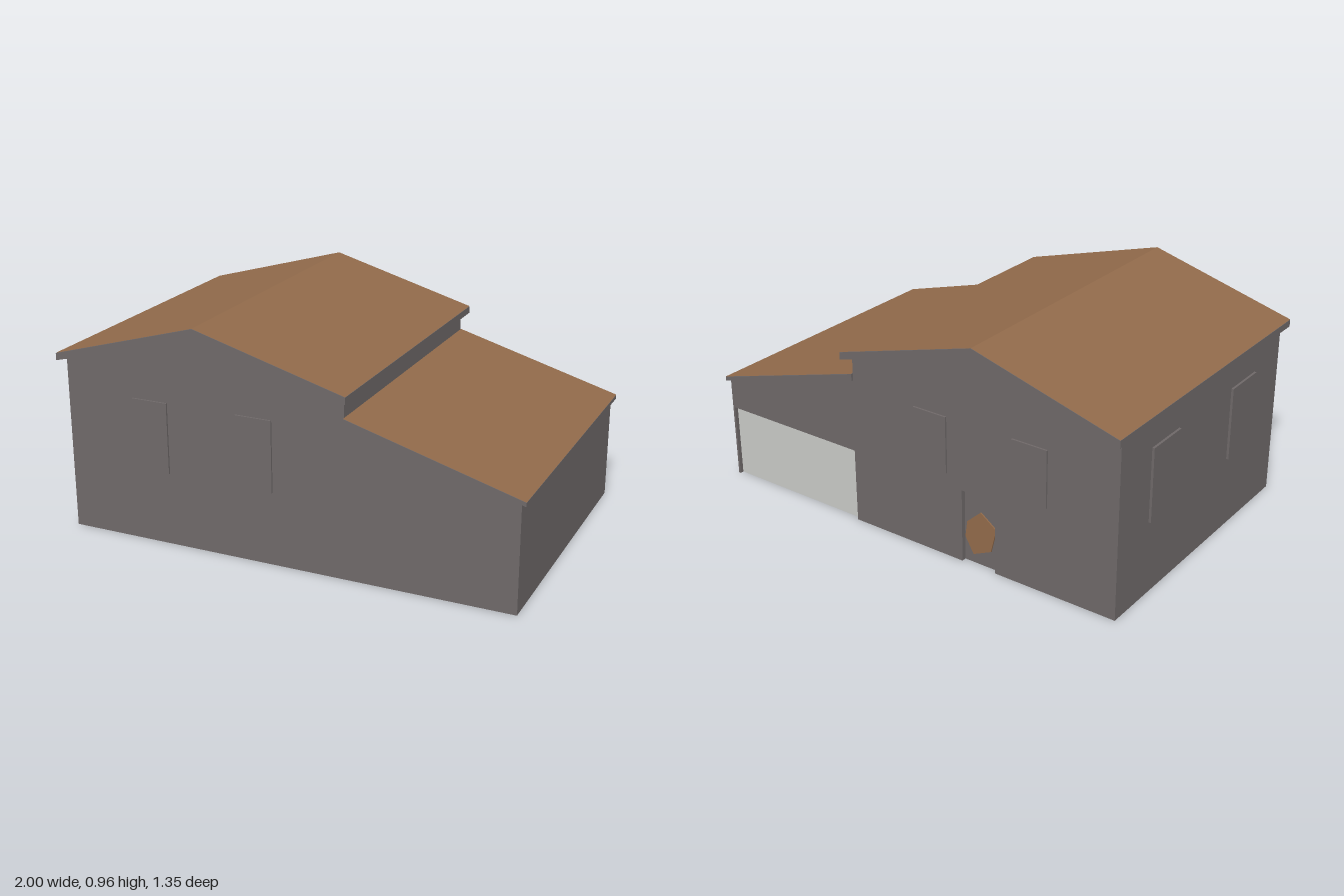
import * as THREE from 'three';

const wallGrey = new THREE.MeshStandardMaterial({ color: 0x6e6868 });
wallGrey.name = 'wallGrey';
const roofBrown = new THREE.MeshStandardMaterial({ color: 0x916a4a });
roofBrown.name = 'roofBrown';
const doorGrey = new THREE.MeshStandardMaterial({ color: 0xc8c9c6 });
doorGrey.name = 'doorGrey';

const shapeOf = pts => new THREE.Shape(pts.map(p => new THREE.Vector2(...p)));

export function createModel() {
  const house = new THREE.Group();
  house.name = 'house';

  const add = (name, geometry, material) => {
    const mesh = new THREE.Mesh(geometry, material);
    mesh.name = name;
    house.add(mesh);
    return mesh;
  };
  // Front profile pushed through from z0 to z1
  const slab = (name, pts, z0, z1, material) => {
    const g = new THREE.ExtrudeGeometry(shapeOf(pts), { depth: z1 - z0, bevelEnabled: false });
    add(name, g.translate(0, 0, z0), material);
  };
  const box = (name, w, h, d, x, y, z, material) =>
    add(name, new THREE.BoxGeometry(w, h, d), material).position.set(x, y, z);

  // Walls: main body plus a back skin notched for the door and garage
  const top = [[0.98, 0.455], [0.27, 0.645], [0.27, 0.755], [-0.355, 0.91], [-0.98, 0.753]];
  slab('walls', [[-0.98, 0], [0.98, 0], ...top], -0.61, 0.63, wallGrey);
  slab('backWall', [
    [-0.98, 0], [-0.43, 0], [-0.43, 0.32], [-0.27, 0.32], [-0.27, 0],
    [0.28, 0], [0.28, 0.325], [0.97, 0.325], [0.97, 0], [0.98, 0], ...top,
  ], -0.63, -0.61, wallGrey);

  // Roofs: grey slabs with brown covering on each slope
  const roof = (name, upper, lower, halfDepth) => {
    slab(name, [...lower, ...upper.slice().reverse()], -halfDepth, halfDepth, wallGrey);
    for (let i = 0; i + 1 < upper.length; i++) {
      const [[x0, y0], [x1, y1]] = [upper[i], upper[i + 1]];
      const g = new THREE.PlaneGeometry(Math.hypot(x1 - x0, y1 - y0), halfDepth * 2);
      g.rotateX(-Math.PI / 2).rotateZ(Math.atan2(y1 - y0, x1 - x0));
      g.translate((x0 + x1) / 2, (y0 + y1) / 2 + 0.0015, 0);
      add(name + 'Covering', g, roofBrown);
    }
  };
  roof('mainRoof', [[-1, 0.777], [-0.355, 0.96], [0.295, 0.777]],
    [[-1, 0.747], [-0.355, 0.91], [0.295, 0.747]], 0.675);
  roof('wingRoof', [[0.27, 0.676], [1, 0.467]], [[0.27, 0.645], [1, 0.45]], 0.64);

  // Windows: raised panels on the front, back and left-hand wall
  for (const x of [-0.59, -0.12]) {
    box('frontWindow', 0.16, 0.305, 0.016, x, 0.467, 0.63, wallGrey);
    box('backWindow', 0.16, 0.245, 0.016, x, 0.498, -0.63, wallGrey);
  }
  for (const z of [-0.31, 0.31])
    box('sideWindow', 0.02, 0.315, 0.2, -0.98, 0.475, z, wallGrey);

  // Recessed garage door
  box('garageDoor', 0.69, 0.325, 0.006, 0.625, 0.1625, -0.611, doorGrey);

  // Brown patch on the back door
  slab('doorPatch', [
    [-0.285, 0.18], [-0.35, 0.24], [-0.425, 0.185], [-0.4, 0.08], [-0.315, 0.04], [-0.275, 0.11],
  ], -0.616, -0.609, roofBrown);

  return house;
}
